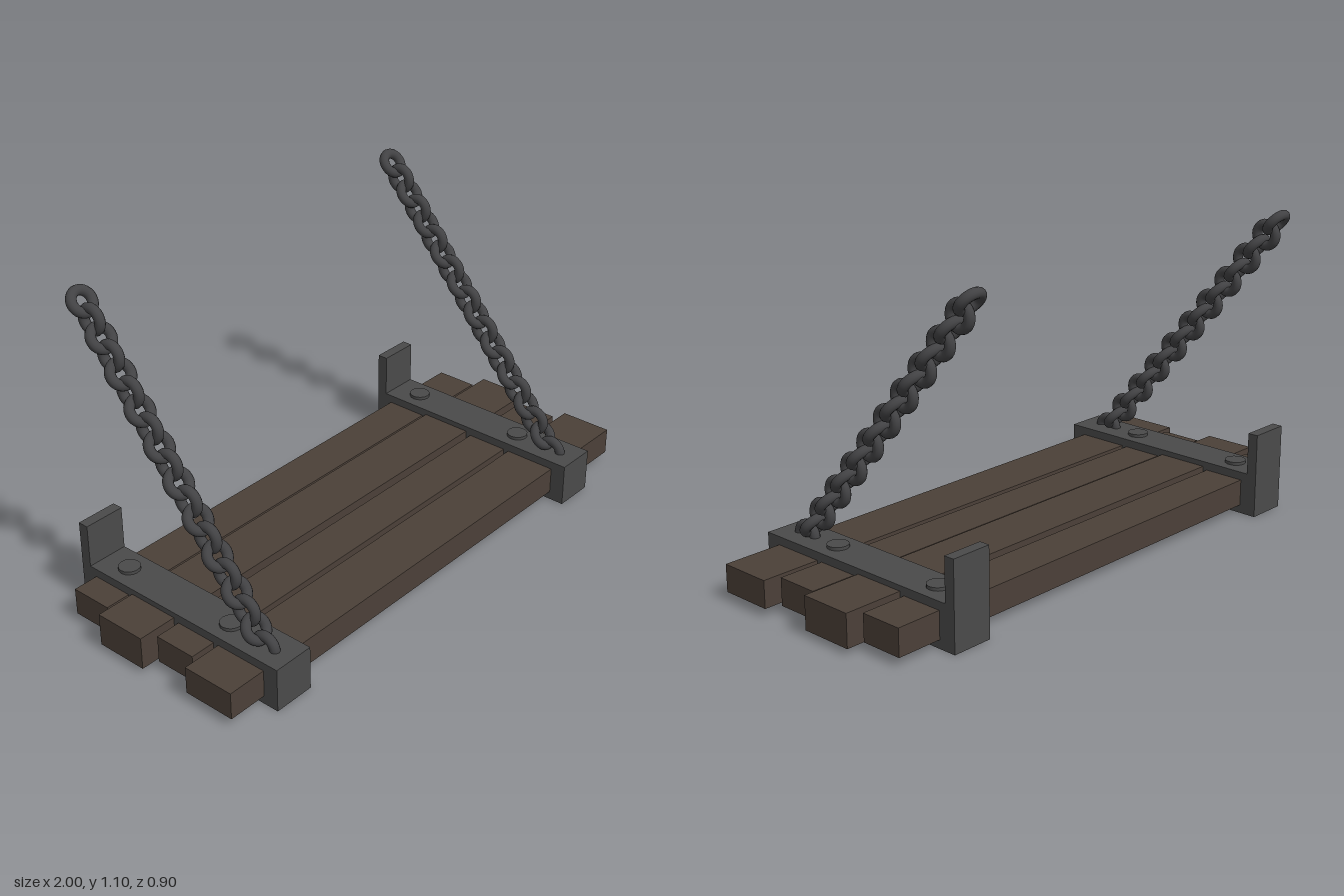
import * as THREE from 'three';

const wood = new THREE.MeshStandardMaterial({ color: 0x4b4038 });
const iron = new THREE.MeshStandardMaterial({ color: 0x4a4a4a });
const chainIron = new THREE.MeshStandardMaterial({ color: 0x424244 });

// Box given by its lower and upper corners
function box(name, material, [x0, y0, z0], [x1, y1, z1]) {
  const mesh = new THREE.Mesh(new THREE.BoxGeometry(x1 - x0, y1 - y0, z1 - z0), material);
  mesh.position.set((x0 + x1) / 2, (y0 + y1) / 2, (z0 + z1) / 2);
  mesh.name = name;
  return mesh;
}

// Iron bracket: beam around the planks, rear upright and two bolt heads
function makeBracket(name, x) {
  const bracket = new THREE.Group();
  bracket.name = name;
  const w = 0.074;
  bracket.add(box('bracketBeam', iron, [x - w, 0, -0.405], [x + w, 0.154, 0.452]));
  bracket.add(box('bracketUpright', iron, [x - w, 0.154, -0.405], [x + w, 0.306, -0.367]));
  for (const z of [0.193, -0.262]) {
    const bolt = new THREE.Mesh(new THREE.CylinderGeometry(0.037, 0.037, 0.022, 16), iron);
    bolt.position.set(x, 0.154, z);
    bolt.name = 'bolt';
    bracket.add(bolt);
  }
  return bracket;
}

// Chain of round links, each turned a quarter against its neighbour
function makeChain(name, xBottom, xTop) {
  const chain = new THREE.Group();
  chain.name = name;
  const start = new THREE.Vector3(xBottom, 0.15, 0.345);
  const end = new THREE.Vector3(xTop, 1.058, -0.408);
  const tilt = Math.atan2(end.z - start.z, end.y - start.y);
  const geometry = new THREE.TorusGeometry(0.0375, 0.0175, 12, 28);
  const count = 20;
  for (let i = 0; i < count; i++) {
    const link = new THREE.Mesh(geometry, chainIron);
    link.position.lerpVectors(start, end, i / (count - 1));
    link.rotation.set(tilt, i % 2 ? 0 : Math.PI / 2, 0);
    link.name = 'chainLink';
    chain.add(link);
  }
  return chain;
}

export function createModel() {
  const model = new THREE.Group();
  model.name = 'chainHungPlatform';

  // Planks: half length, bottom, top, back, front
  const planks = [
    [1, 0.03, 0.125, 0.208, 0.397],
    [0.95, 0.03, 0.125, 0.036, 0.188],
    [1, 0.02, 0.135, -0.173, 0.016],
    [0.95, 0.03, 0.125, -0.342, -0.19],
  ];
  for (const [h, y0, y1, z0, z1] of planks) {
    model.add(box('plank', wood, [-h, y0, z0], [h, y1, z1]));
  }

  model.add(makeBracket('rightBracket', -0.785), makeBracket('leftBracket', 0.712));
  model.add(makeChain('rightChain', -0.792, -0.766), makeChain('leftChain', 0.71, 0.71));
  return model;
}
